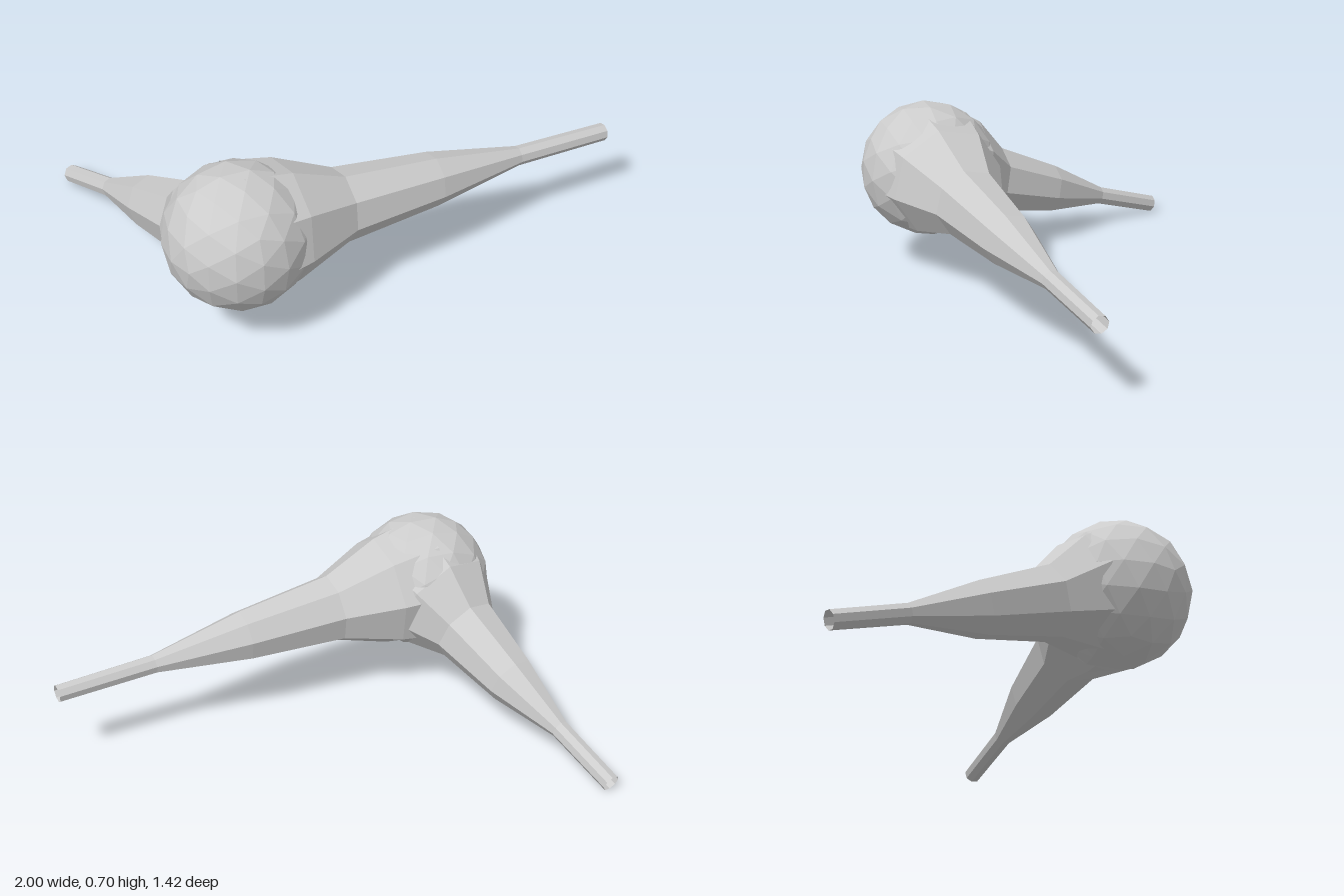
import * as THREE from 'three';

const SIDES = 8;

// Open faceted tube through rings of [x, y, z, radius], all square to one axis
function taperedArm(name, rings, turn, material) {
  const first = new THREE.Vector3(...rings[0]);
  const last = new THREE.Vector3(...rings[rings.length - 1]);
  const axis = last.sub(first).normalize();
  const up = new THREE.Vector3(0, 1, 0).addScaledVector(axis, -axis.y).normalize();
  const side = new THREE.Vector3().crossVectors(up, axis);
  const positions = [];
  const index = [];
  rings.forEach(([x, y, z, r], j) => {
    for (let i = 0; i < SIDES; i++) {
      const a = turn + (i / SIDES) * Math.PI * 2;
      const p = new THREE.Vector3(x, y, z)
        .addScaledVector(side, r * Math.cos(a))
        .addScaledVector(up, r * Math.sin(a));
      positions.push(p.x, p.y, p.z);
      if (j === 0) continue;
      const n = (i + 1) % SIDES;
      const a0 = (j - 1) * SIDES + i, a1 = (j - 1) * SIDES + n;
      const b0 = j * SIDES + i, b1 = j * SIDES + n;
      index.push(a0, a1, b1, a0, b1, b0);
    }
  });
  const geometry = new THREE.BufferGeometry();
  geometry.setAttribute('position', new THREE.Float32BufferAttribute(positions, 3));
  geometry.setIndex(index);
  geometry.computeVertexNormals();
  const mesh = new THREE.Mesh(geometry, material);
  mesh.name = name;
  return mesh;
}

export function createModel() {
  const group = new THREE.Group();
  group.name = 'bulbWithArms';
  const material = new THREE.MeshStandardMaterial({
    color: 0xcccccc, flatShading: true, side: THREE.DoubleSide,
  });

  // Round body where the arms meet
  const bulb = new THREE.Mesh(new THREE.IcosahedronGeometry(0.282, 2), material);
  bulb.name = 'bulb';
  bulb.position.set(-0.63, 0.428, 0.428);
  group.add(bulb);

  // Long arm to the left
  group.add(taperedArm('longArm', [
    [-0.63, 0.43, 0.425, 0.275],
    [-0.43, 0.42, 0.4, 0.235],
    [-0.2, 0.4, 0.375, 0.145],
    [0.2, 0.377, 0.335, 0.107],
    [0.59, 0.352, 0.297, 0.039],
    [0.998, 0.33, 0.257, 0.036],
  ], Math.PI * 1.056, material));

  // Shorter arm to the back, sloping down to the ground
  group.add(taperedArm('shortArm', [
    [-0.63, 0.43, 0.425, 0.275],
    [-0.67, 0.385, 0.275, 0.23],
    [-0.71, 0.322, 0.135, 0.145],
    [-0.788, 0.226, -0.145, 0.107],
    [-0.876, 0.135, -0.415, 0.039],
    [-0.963, 0.037, -0.7, 0.037],
  ], Math.PI * 0.056, material));

  return group;
}
